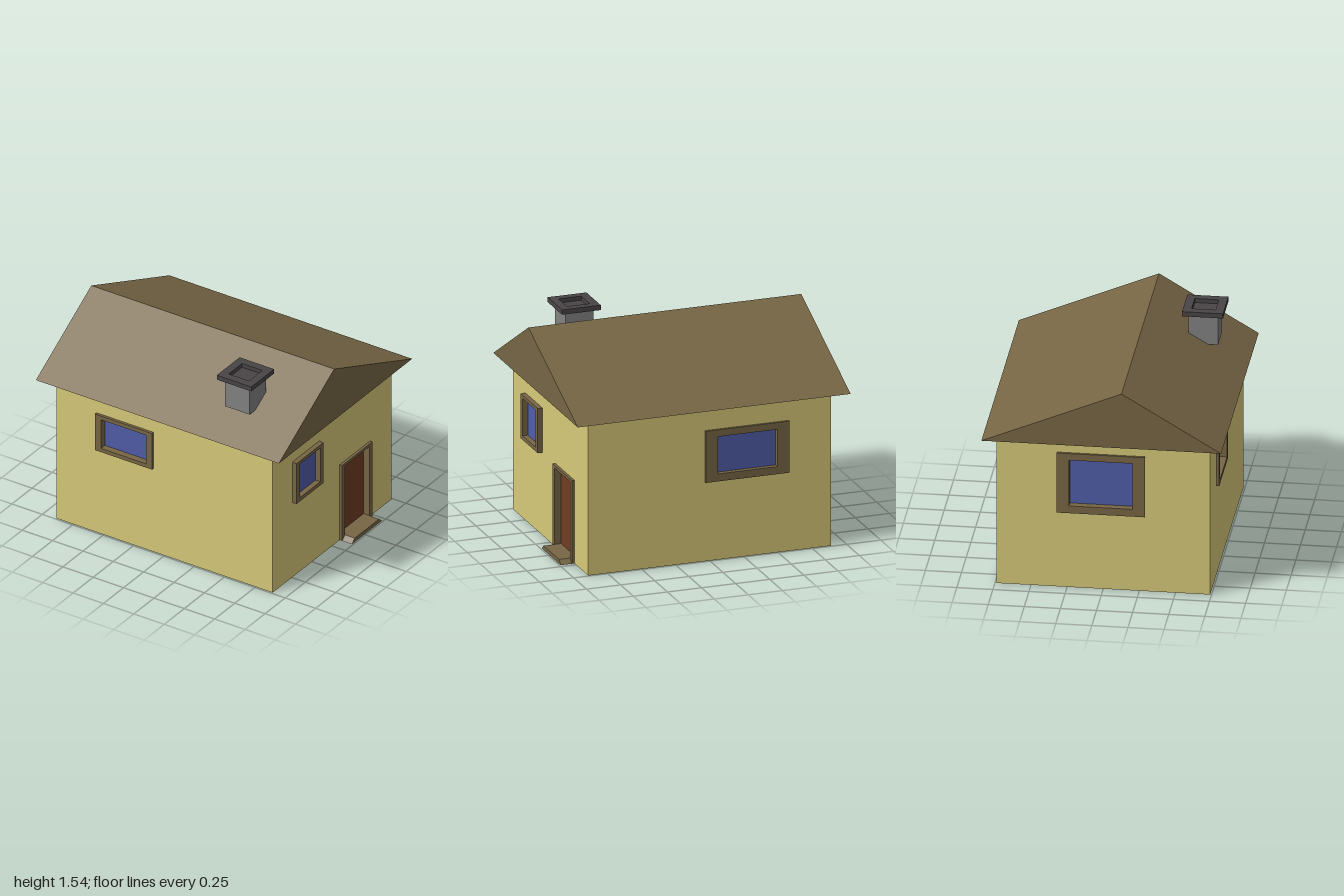
import * as THREE from 'three';

const mat = (name, color, side = THREE.FrontSide) => {
  const m = new THREE.MeshStandardMaterial({ color, side });
  m.name = name;
  return m;
};

// Closed shape from corner points
const poly = (pts) => new THREE.Shape(pts.map(([x, y]) => new THREE.Vector2(x, y)));
// Rectangle [x0, x1, y0, y1], optionally with rectangular holes
const rect = ([x0, x1, y0, y1], holes = []) => {
  const s = poly([[x0, y0], [x1, y0], [x1, y1], [x0, y1]]);
  s.holes = holes.map((h) => rect(h));
  return s;
};
const extrude = (shape, depth) => new THREE.ExtrudeGeometry(shape, { depth, bevelEnabled: false });

export function createModel() {
  const wallMat = mat('wall yellow', 0xd8ca79, THREE.DoubleSide);
  const brown = mat('roof and trim brown', 0x776645);
  const blue = mat('window blue', 0x505da9, THREE.DoubleSide);
  const red = mat('door red brown', 0x723c25, THREE.DoubleSide);
  const grey = mat('chimney grey', 0x828282);
  const dark = mat('chimney cap dark grey', 0x494547);

  const house = new THREE.Group();
  house.name = 'house';
  const add = (parent, name, geometry, material, x = 0, y = 0, z = 0) => {
    const m = new THREE.Mesh(geometry, material);
    m.name = name;
    m.position.set(x, y, z);
    parent.add(m);
    return m;
  };

  const W = 0.89, D = 0.74, H = 1.12;

  // Each wall lies in its own local plane, local +z pointing outwards.
  // Openings: outer frame, inner frame, protrusion, pane position relative to the wall.
  const walls = [
    { name: 'front', turn: 0, half: W, dist: D, openings: [
      { kind: 'window', outer: [-0.56, -0.09, 0.67, 0.96], inner: [-0.51, -0.14, 0.7, 0.93], out: 0.02, pane: -0.03 }] },
    { name: 'right', turn: Math.PI / 2, half: D, dist: W, openings: [
      { kind: 'window', outer: [-0.495, -0.16, 0.6, 0.925], inner: [-0.455, -0.2, 0.63, 0.9], out: 0.035, pane: -0.005 },
      { kind: 'door', outer: [0.095, 0.47, 0, 0.605], inner: [0.13, 0.435, 0.03, 0.585], out: 0.02, pane: -0.03 }] },
    { name: 'back', turn: Math.PI, half: W, dist: D, openings: [
      { kind: 'window', outer: [-0.035, 0.58, 0.575, 0.95], inner: [0.055, 0.49, 0.63, 0.9], out: 0.017, pane: -0.02 }] },
    { name: 'left', turn: -Math.PI / 2, half: D, dist: W, openings: [
      { kind: 'window', outer: [-0.32, 0.29, 0.565, 1.015], inner: [-0.235, 0.205, 0.62, 0.965], out: 0.017, pane: -0.035 }] },
  ];

  for (const { name, turn, half, dist, openings } of walls) {
    const side = new THREE.Group();
    side.name = `${name} side`;
    side.rotation.y = turn;
    house.add(side);

    const holes = openings.map(({ outer: [a, b, c, d] }) => [a, b, Math.max(c, 0.001), d]);
    add(side, `${name} wall`, new THREE.ShapeGeometry(rect([-half, half, 0, H], holes)), wallMat, 0, 0, dist);

    for (const { kind, outer, inner, out, pane } of openings) {
      add(side, `${kind} frame`, extrude(rect(outer, [inner]), out - pane), brown, 0, 0, dist + pane);
      add(side, kind === 'door' ? 'door' : 'window glass', new THREE.ShapeGeometry(rect(inner)),
        kind === 'door' ? red : blue, 0, 0, dist + pane + 0.001);
      if (kind === 'door') {
        // Doorstep with slanted ends
        const step = poly([[outer[0], 0], [outer[1], 0], [inner[1], inner[2]], [inner[0], inner[2]]]);
        add(side, 'doorstep', extrude(step, 0.08), brown, 0, 0, dist + out);
      }
    }
  }

  // Gabled roof with an off-centre ridge, profile drawn in (-z, y)
  const roofProfile = poly([[-0.83, H], [0.83, H], [-0.14, 1.53]]);
  const roof = add(house, 'roof', extrude(roofProfile, 2), brown, -1, 0, 0);
  roof.rotation.y = Math.PI / 2;

  // Chimney with a hollow cap
  const cx = 0.522, cz = 0.522;
  add(house, 'chimney', new THREE.BoxGeometry(0.205, 0.222, 0.205), grey, cx, 1.394, cz);
  const cap = add(house, 'chimney cap',
    extrude(rect([-0.142, 0.142, -0.142, 0.142], [[-0.083, 0.083, -0.083, 0.083]]), 0.035), dark, cx, 1.503, cz);
  cap.rotation.x = -Math.PI / 2;
  add(house, 'chimney opening', new THREE.BoxGeometry(0.166, 0.004, 0.166), dark, cx, 1.506, cz);

  return house;
}
